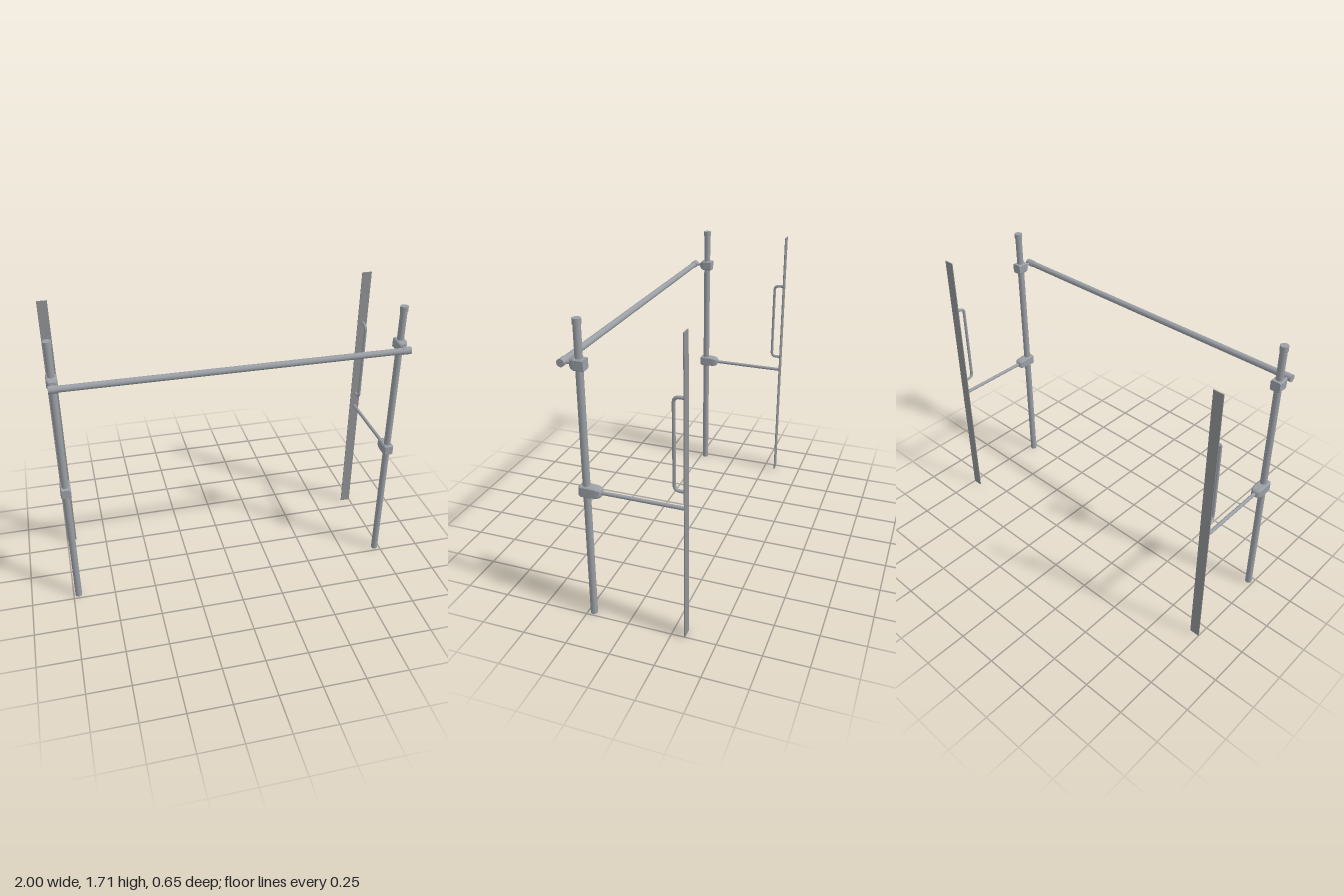
import * as THREE from 'three';

const steel = new THREE.MeshStandardMaterial({ color: 0x9a9fa5 });
steel.name = 'steel';
const plate = new THREE.MeshStandardMaterial({ color: 0x8f9194 });
plate.name = 'plate grey';

function add(parent, name, geometry, x, y, z, material = steel) {
  const mesh = new THREE.Mesh(geometry, material);
  mesh.name = name;
  mesh.position.set(x, y, z);
  parent.add(mesh);
  return mesh;
}

const rod = (r, length) => new THREE.CylinderGeometry(r, r, length, 24);

// Chamfered block lofted along z from sections [z, halfWidth, halfHeight], z ascending
function loftBlock(sections) {
  const rings = sections.map(([z, w, h]) => {
    const c = 0.006;
    return [[w, -h + c], [w, h - c], [w - c, h], [-w + c, h], [-w, h - c], [-w, -h + c], [-w + c, -h], [w - c, -h]]
      .map(([x, y]) => [x, y, z]);
  });
  const pos = [];
  const tri = (...points) => points.forEach((p) => pos.push(...p));
  const first = rings[0];
  const last = rings[rings.length - 1];
  for (let k = 0; k < 8; k++) {
    const n = (k + 1) % 8;
    for (let i = 0; i < rings.length - 1; i++) {
      tri(rings[i][k], rings[i][n], rings[i + 1][n]);
      tri(rings[i][k], rings[i + 1][n], rings[i + 1][k]);
    }
    if (k > 0 && k < 7) {
      tri(last[0], last[k], last[n]);
      tri(first[0], first[n], first[k]);
    }
  }
  const geometry = new THREE.BufferGeometry();
  geometry.setAttribute('position', new THREE.Float32BufferAttribute(pos, 3));
  geometry.computeVertexNormals();
  return geometry;
}

// Grab handle: straight runs joined by rounded corners
function handleGeometry() {
  const V = (y, z) => new THREE.Vector3(0, y, z);
  const top = 1.375, bottom = 0.873, back = -0.325, front = -0.263, r = 0.03;
  const path = new THREE.CurvePath();
  path.add(new THREE.LineCurve3(V(top, back), V(top, front - r)));
  path.add(new THREE.QuadraticBezierCurve3(V(top, front - r), V(top, front), V(top - r, front)));
  path.add(new THREE.LineCurve3(V(top - r, front), V(bottom + r, front)));
  path.add(new THREE.QuadraticBezierCurve3(V(bottom + r, front), V(bottom, front), V(bottom, front - r)));
  path.add(new THREE.LineCurve3(V(bottom, front - r), V(bottom, back)));
  return new THREE.TubeGeometry(path, 120, 0.009, 12);
}

export function createModel() {
  const model = new THREE.Group();
  model.name = 'railFrame';
  const postZ = 0.217, barY = 1.475, barZ = 0.306, armY = 0.778, wallZ = -0.325;

  for (const [side, s] of [['left', 1], ['right', -1]]) {
    const group = new THREE.Group();
    group.name = side + 'Support';
    group.position.x = s * 0.97;
    model.add(group);

    // Upright post and its cap
    add(group, 'post', rod(0.02, 1.69), 0, 0.845, postZ);
    add(group, 'postCap', rod(0.023, 0.03), 0, 1.69, postZ);

    // Clamp and stem carrying the crossbar
    add(group, 'upperClamp', loftBlock([
      [0.183, 0.029, 0.029], [0.238, 0.03, 0.03], [0.252, 0.026, 0.026], [0.262, 0.017, 0.016],
    ]), 0, barY, 0);
    add(group, 'barStem', rod(0.008, barZ - 0.25), 0, barY, (barZ + 0.25) / 2).rotation.x = Math.PI / 2;

    // Clamp and arm reaching back to the wall strip
    add(group, 'lowerClamp', loftBlock([
      [0.131, 0.017, 0.016], [0.14, 0.025, 0.024], [0.16, 0.029, 0.028], [0.195, 0.03, 0.031],
      [0.243, 0.03, 0.031], [0.253, 0.024, 0.027],
    ]), 0, armY, 0);
    add(group, 'arm', rod(0.0105, 0.14 - wallZ), 0, armY, (0.14 + wallZ) / 2).rotation.x = Math.PI / 2;

    // Wall strip and grab handle
    add(group, 'wallStrip', new THREE.BoxGeometry(0.06, 1.705, 0.005), 0, 0.8525, wallZ, plate);
    add(group, 'handle', handleGeometry(), 0, 0, 0);

    // Crossbar end cap
    add(group, 'barCap', rod(0.021, 0.048), 0, barY, barZ).rotation.z = Math.PI / 2;
  }

  add(model, 'crossbar', rod(0.018, 1.96), 0, barY, barZ).rotation.z = Math.PI / 2;
  return model;
}
